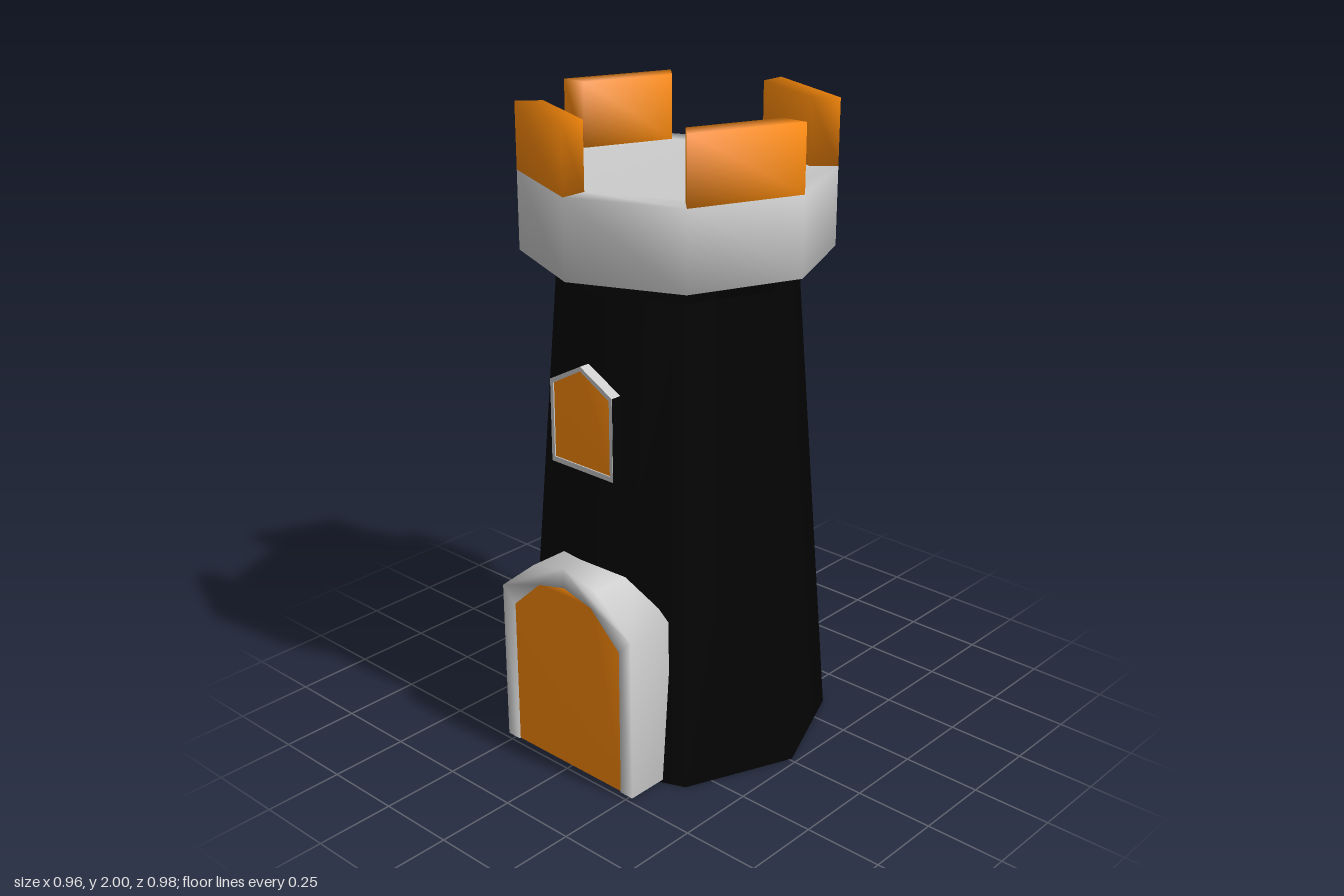
import * as THREE from 'three';
import { mergeVertices } from 'three/addons/utils/BufferGeometryUtils.js';

const SIDES = 8;
const CENTRE_Z = -0.01; // tower axis, so that the door porch balances the depth

const material = (color) => new THREE.MeshStandardMaterial({ color, side: THREE.DoubleSide });
const grey = material(0xcccccc);
const orange = material(0xff8c0a);
const black = material(0x030303);

function add(parent, name, geometry, mat, x = 0, y = 0, z = 0) {
  const mesh = new THREE.Mesh(geometry, mat);
  mesh.name = name;
  mesh.position.set(x, y, z);
  parent.add(mesh);
  return mesh;
}

// Closed outline from its right half (bottom to apex), mirrored to the left
function mirrored(half) {
  const left = half.filter(([x]) => x > 0).map(([x, y]) => [-x, y]).reverse();
  return [...half, ...left].map(([x, y]) => new THREE.Vector2(x, y));
}

function slab(outline, depth, hole) {
  const shape = new THREE.Shape(outline);
  if (hole) shape.holes.push(new THREE.Path(hole));
  return new THREE.ExtrudeGeometry(shape, { depth, bevelEnabled: false });
}

// Share the corners so that the shading blends across the edges
function smooth(geometry) {
  geometry.deleteAttribute('normal');
  geometry.deleteAttribute('uv');
  const merged = mergeVertices(geometry);
  merged.computeVertexNormals();
  return merged;
}

// Gallery: hollow parapet with a floor, and four merlons on alternate sides
function makeGallery() {
  const g = new THREE.Group();
  g.name = 'gallery';
  const outer = 0.468, inner = 0.385, bottom = 1.56, top = 1.8, floor = 1.79;
  const profile = [[inner, floor], [inner, bottom], [outer, bottom], [outer, top], [inner, top], [inner, floor], [0, floor]]
    .map(([r, y]) => new THREE.Vector2(r, y));
  add(g, 'parapet', new THREE.LatheGeometry(profile, SIDES), grey);

  const c = Math.SQRT1_2;
  const plan = [[inner, 0], [outer, 0], [outer * c, outer * c], [inner * c, inner * c]]
    .map(([x, y]) => new THREE.Vector2(x, y));
  for (let i = 0; i < 4; i++) {
    // plan y becomes +z, the depth grows downward from the merlon's top
    const merlon = add(g, 'merlon', smooth(slab(plan, 0.2).rotateX(Math.PI / 2)), orange, 0, 2);
    merlon.rotation.y = i * Math.PI / 2;
  }
  return g;
}

// Arched door in a deep porch
function makeDoor() {
  const g = new THREE.Group();
  g.name = 'door';
  const frame = mirrored([[0.271, 0.01], [0.271, 0.54], [0.13, 0.655], [0, 0.687]]);
  const panel = mirrored([[0.223, 0.01], [0.223, 0.49], [0.11, 0.595], [0, 0.622]]);
  // the frame is open at the foot, where the panel meets the ground
  const arch = [...frame, ...panel.slice().reverse()];
  add(g, 'doorFrame', smooth(slab(arch, 0.163)), grey, 0, 0, 0.33);
  add(g, 'doorPanel', smooth(slab(panel, 0.015)), orange, 0, 0, 0.473);
  return g;
}

// Small pointed window
function makeWindow() {
  const g = new THREE.Group();
  g.name = 'window';
  const frame = mirrored([[0.125, 0.972], [0.125, 1.23], [0, 1.297]]);
  const pane = mirrored([[0.113, 0.988], [0.113, 1.22], [0, 1.283]]);
  add(g, 'windowFrame', slab(frame, 0.035, pane), grey, 0, 0, 0.372);
  add(g, 'windowPane', smooth(slab(pane, 0.01)), orange, 0, 0, 0.393);
  for (const s of [-1, 1]) {
    add(g, 'windowSide', new THREE.BoxGeometry(0.002, 0.258, 0.034), black, s * 0.1255, 1.101, 0.389);
  }
  return g;
}

export function createModel() {
  const model = new THREE.Group();
  model.name = 'castleTower';

  // Tapered octagonal shaft, open below
  add(model, 'towerShaft', new THREE.CylinderGeometry(0.362, 0.481, 1.5, SIDES, 1, true), black, 0, 0.75, CENTRE_Z);

  const gallery = makeGallery();
  gallery.position.z = CENTRE_Z;
  model.add(gallery, makeDoor(), makeWindow());
  return model;
}
